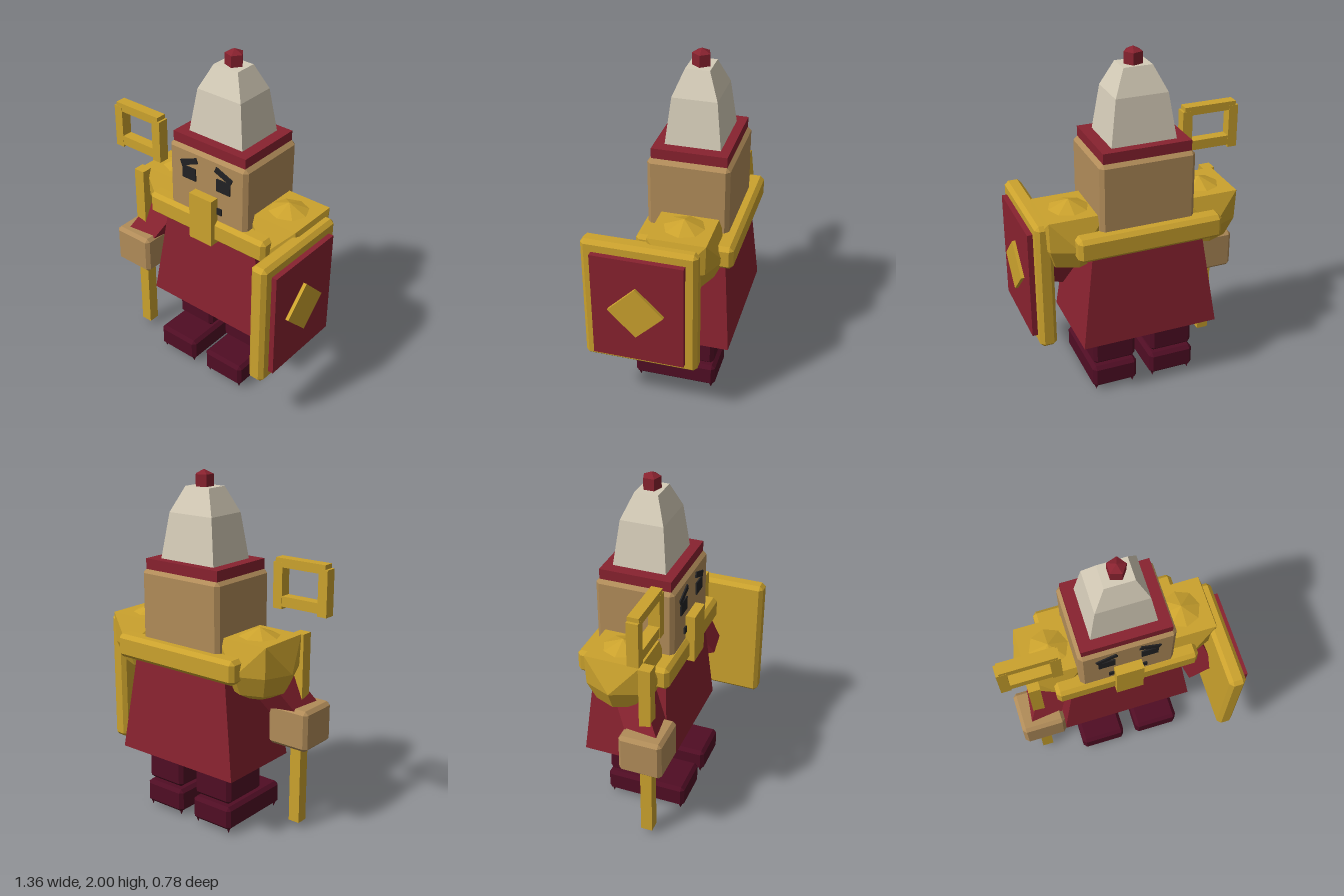
import * as THREE from 'three';
import { ConvexGeometry } from 'three/addons/geometries/ConvexGeometry.js';

const mat = (name, color) => {
  const m = new THREE.MeshStandardMaterial({ color, flatShading: true });
  m.name = name;
  return m;
};

export function createModel() {
  const gold = mat('gold', 0xcba22d);
  const red = mat('red', 0x88222f);
  const skin = mat('skin', 0xb18c59);
  const cream = mat('cream', 0xd5ccb8);
  const maroon = mat('maroon', 0x500d24);
  const dark = mat('dark', 0x222224);

  const model = new THREE.Group();
  model.name = 'figure';
  const add = (name, geometry, material, parent = model) => {
    const mesh = new THREE.Mesh(geometry, material);
    mesh.name = name;
    parent.add(mesh);
    return mesh;
  };
  const group = (name) => {
    const g = new THREE.Group();
    g.name = name;
    model.add(g);
    return g;
  };

  // Box given by its limits; c > 0 bevels every edge
  const block = (name, material, [x0, x1], [y0, y1], [z0, z1], c = 0, parent = model) => {
    const w = (x1 - x0) / 2, h = (y1 - y0) / 2, d = (z1 - z0) / 2;
    let geometry;
    if (c > 0) {
      const pts = [];
      for (const i of [-1, 1]) for (const j of [-1, 1]) for (const k of [-1, 1]) {
        pts.push(
          new THREE.Vector3(i * w, j * (h - c), k * (d - c)),
          new THREE.Vector3(i * (w - c), j * h, k * (d - c)),
          new THREE.Vector3(i * (w - c), j * (h - c), k * d));
      }
      geometry = new ConvexGeometry(pts);
    } else geometry = new THREE.BoxGeometry(2 * w, 2 * h, 2 * d);
    const mesh = add(name, geometry, material, parent);
    mesh.position.set((x0 + x1) / 2, (y0 + y1) / 2, (z0 + z1) / 2);
    return mesh;
  };

  // Solid through stacked rectangles [y, x0, x1, z0, z1]
  const tapered = (name, material, rows) => add(name, new ConvexGeometry(
    rows.flatMap(([y, x0, x1, z0, z1]) => [
      new THREE.Vector3(x0, y, z0), new THREE.Vector3(x1, y, z0),
      new THREE.Vector3(x1, y, z1), new THREE.Vector3(x0, y, z1)])), material);

  // Legs and shoes, with small pointed feet under each shoe
  for (const [side, x] of [['right', -0.155], ['left', 0.198]]) {
    block(side + 'Leg', maroon, [x - 0.127, x + 0.127], [0.18, 0.45], [-0.27, 0.03], 0.02);
    const shoe = group(side + 'Shoe');
    block('shoeBody', maroon, [x - 0.135, x + 0.135], [0.025, 0.165], [-0.28, 0.2], 0.02, shoe);
    for (const i of [-1, 1]) for (const z of [-0.255, 0.175]) {
      const tip = add('shoeCorner', new THREE.ConeGeometry(0.018, 0.045, 4), maroon, shoe);
      tip.rotation.x = Math.PI;
      tip.position.set(x + i * 0.112, 0.0225, z);
    }
  }

  // Robe
  tapered('robe', red, [
    [0.39, -0.38, 0.417, -0.375, 0.135],
    [1.0, -0.29, 0.335, -0.325, 0.09]]);

  // Collar bars, front and back
  block('collarFront', gold, [-0.395, 0.435], [0.94, 1.075], [0.03, 0.145], 0.022);
  block('collarBack', gold, [-0.395, 0.435], [0.94, 1.075], [-0.39, -0.28], 0.022);

  // Head and face
  block('head', skin, [-0.25, 0.292], [0.96, 1.46], [-0.33, 0.12], 0.022);
  block('nosePlate', gold, [-0.06, 0.097], [0.93, 1.22], [0.1, 0.175]);
  block('mouth', dark, [-0.09, 0.13], [1.12, 1.16], [0.119, 0.128]);
  for (const [side, s] of [['right', -1], ['left', 1]]) {
    const ex = 0.021 + s * 0.121;
    block(side + 'Eye', dark, [ex - 0.047, ex + 0.047], [1.27, 1.345], [0.119, 0.128]);
    block(side + 'Brow', dark, [ex - 0.06, ex + 0.06], [1.362, 1.396], [0.119, 0.128])
      .rotation.z = -s * 0.38;
  }

  // Hat
  block('hatBrim', red, [-0.23, 0.27], [1.45, 1.517], [-0.31, 0.1]);
  tapered('hat', cream, [
    [1.51, -0.165, 0.205, -0.26, 0.045],
    [1.77, -0.126, 0.167, -0.228, 0.017],
    [1.91, -0.06, 0.102, -0.17, -0.038]]);
  const knob = group('hatKnob');
  knob.position.set(0.025, 0, -0.107);
  add('knobBody', new THREE.CylinderGeometry(0.052, 0.052, 0.08, 5, 1, false, Math.PI / 2), red, knob).position.y = 1.935;
  add('knobTip', new THREE.ConeGeometry(0.052, 0.025, 5, 1, false, Math.PI / 2), red, knob).position.y = 1.9875;

  // Shoulder guards: square top, eight-sided belly, low cap
  const guardPoints = [];
  const ring = (r, y, n, turn) => {
    for (let i = 0; i < n; i++) {
      const a = turn + (i / n) * Math.PI * 2;
      guardPoints.push(new THREE.Vector3(Math.cos(a) * r, y, Math.sin(a) * r));
    }
  };
  ring(0.225, 1.155, 4, Math.PI / 4);
  ring(0.217, 0.98, 8, 0);
  ring(0.165, 0.865, 8, 0);
  ring(0.08, 0.82, 8, 0);
  const guardGeometry = new ConvexGeometry(guardPoints);
  for (const [side, x] of [['right', -0.367], ['left', 0.405]]) {
    const guard = group(side + 'ShoulderGuard');
    guard.position.set(x, 0, -0.12);
    add('guardBody', guardGeometry, gold, guard);
    add('guardCap', new THREE.ConeGeometry(0.115, 0.048, 8), gold, guard).position.y = 1.178;
  }

  // Sleeves
  const up = new THREE.Vector3(0, 1, 0);
  const sleeve = (name, from, to) => {
    const a = new THREE.Vector3(...from), b = new THREE.Vector3(...to);
    const mesh = add(name, new THREE.BoxGeometry(0.17, a.distanceTo(b), 0.17), red);
    mesh.position.copy(a).add(b).multiplyScalar(0.5);
    mesh.quaternion.setFromUnitVectors(up, a.sub(b).normalize());
  };
  sleeve('rightSleeve', [-0.35, 0.98, -0.1], [-0.5, 0.68, 0.08]);
  sleeve('leftSleeve', [0.38, 0.98, -0.1], [0.49, 0.68, 0.06]);
  block('rightHand', skin, [-0.635, -0.38], [0.52, 0.755], [-0.055, 0.195], 0.02);

  // Staff with a square head
  const staff = group('staff');
  block('staffShaft', gold, [-0.543, -0.475], [0.037, 1.155], [0.036, 0.104], 0, staff);
  block('staffHeadTop', gold, [-0.664, -0.35], [1.5, 1.55], [0.037, 0.1], 0, staff);
  block('staffHeadBottom', gold, [-0.664, -0.35], [1.285, 1.342], [0.037, 0.1], 0, staff);
  block('staffHeadSide', gold, [-0.68, -0.624], [1.27, 1.525], [0.036, 0.101], 0, staff);
  block('staffHeadSide', gold, [-0.395, -0.337], [1.27, 1.525], [0.036, 0.101], 0, staff);

  // Shield on the left arm
  const shield = group('shield');
  block('shieldFrame', gold, [0.53, 0.627], [0.365, 1.125], [-0.25, 0.388], 0.022, shield);
  block('shieldPanel', red, [0.6, 0.658], [0.42, 1.06], [-0.187, 0.325], 0, shield);
  block('shieldDiamond', gold, [0.65, 0.677], [0.63, 0.85], [-0.035, 0.185], 0, shield)
    .rotation.x = Math.PI / 4;

  return model;
}
